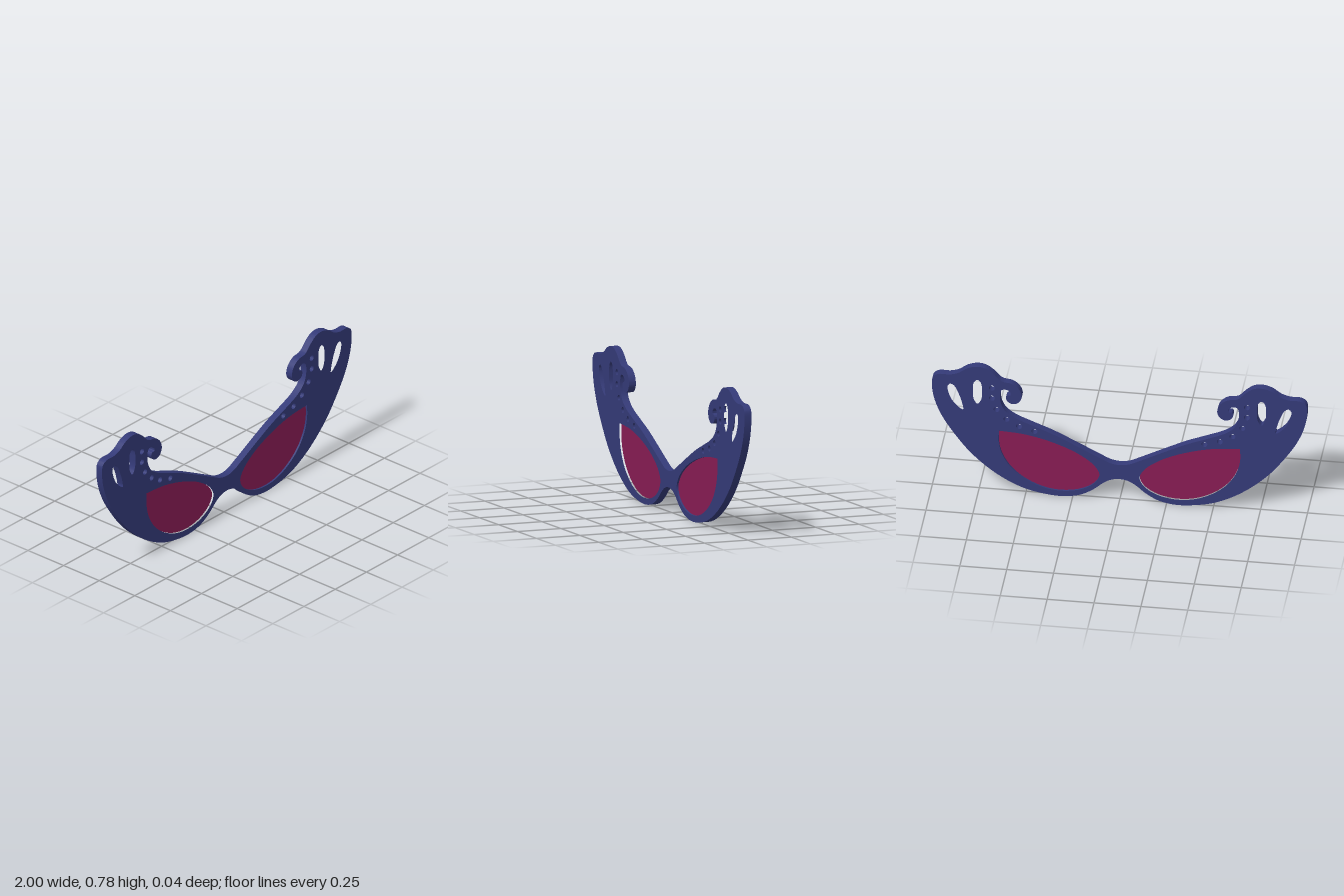
import * as THREE from 'three';
import { toCreasedNormals } from 'three/addons/utils/BufferGeometryUtils.js';

const THICK = 0.04;
const frameMat = new THREE.MeshStandardMaterial({ color: 0x343a78 });
const lensMat = new THREE.MeshStandardMaterial({ color: 0x881c54 });

// Smooth curve through [x, y] points, as Vector2s
function smooth(pts, closed, n) {
  const curve = new THREE.CatmullRomCurve3(pts.map(([x, y]) => new THREE.Vector3(x, y, 0)), closed, 'centripetal');
  return curve.getPoints(n).slice(0, -1).map(p => new THREE.Vector2(p.x, p.y));
}
const mirror = (pts, s) => pts.map(([x, y]) => [s * x, y]);

function extrude(shape, depth) {
  const g = new THREE.ExtrudeGeometry(shape, { depth, bevelEnabled: false, curveSegments: 16 });
  g.translate(0, 0, -depth / 2);
  return toCreasedNormals(g, 0.6);
}

// Half outline: from the bridge along the brow, round the curl and wing tip, back under the lens
const half = [
  [0.05, 0.233], [0.11, 0.262], [0.25, 0.335], [0.36, 0.39], [0.47, 0.435], [0.56, 0.475], [0.61, 0.515],
  [0.632, 0.56], [0.637, 0.61], [0.628, 0.643], [0.605, 0.648], [0.583, 0.634], [0.582, 0.615],
  [0.598, 0.612], [0.606, 0.595], [0.595, 0.572], [0.567, 0.56], [0.537, 0.573], [0.521, 0.61],
  [0.535, 0.655], [0.573, 0.687], [0.63, 0.7], [0.675, 0.745], [0.715, 0.773], [0.76, 0.78],
  [0.81, 0.766], [0.86, 0.732], [0.905, 0.718], [0.965, 0.716], [0.994, 0.695], [1.0, 0.64],
  [0.985, 0.55], [0.945, 0.45], [0.88, 0.345], [0.8, 0.24], [0.7, 0.145], [0.6, 0.076],
  [0.5, 0.03], [0.4, 0.007], [0.3, 0], [0.21, 0.018], [0.14, 0.058], [0.085, 0.105], [0.045, 0.128],
];

// Lens opening, starting and ending at its sharp outer corner
const lens = [
  [0.642, 0.385], [0.5, 0.373], [0.35, 0.334], [0.22, 0.276], [0.135, 0.21], [0.107, 0.155],
  [0.13, 0.102], [0.2, 0.055], [0.3, 0.034], [0.4, 0.045], [0.5, 0.09], [0.58, 0.16],
  [0.628, 0.245], [0.644, 0.32], [0.642, 0.385],
];

// Long cutouts in the wing
const slots = [
  [[0.757, 0.697], [0.776, 0.68], [0.782, 0.63], [0.777, 0.575], [0.757, 0.545], [0.737, 0.575], [0.733, 0.63], [0.739, 0.68]],
  [[0.902, 0.66], [0.916, 0.645], [0.912, 0.605], [0.884, 0.545], [0.834, 0.502], [0.842, 0.555], [0.861, 0.61], [0.882, 0.65]],
];

// Round holes following the brow
const dots = [[0.68, 0.652], [0.68, 0.588], [0.655, 0.519], [0.602, 0.461], [0.535, 0.422], [0.453, 0.398]];

export function createModel() {
  const model = new THREE.Group();

  const outline = [[0, 0.225], ...half, [0, 0.136], ...mirror(half, -1).reverse()];
  const frame = new THREE.Shape(smooth(outline, true, 540));

  for (const s of [1, -1]) {
    const lensPts = smooth(mirror(lens, s), false, 90);
    frame.holes.push(new THREE.Path(lensPts));
    for (const slot of slots) frame.holes.push(new THREE.Path(smooth(mirror(slot, s), true, 40)));
    for (const [x, y] of dots) {
      const hole = [];
      for (let i = 0; i < 20; i++) {
        const a = i / 20 * Math.PI * 2;
        hole.push(new THREE.Vector2(s * x + 0.016 * Math.cos(a), y + 0.016 * Math.sin(a)));
      }
      frame.holes.push(new THREE.Path(hole));
    }

    // Lens set midway into the frame
    const pane = new THREE.Mesh(extrude(new THREE.Shape(lensPts), THICK / 2), lensMat);
    pane.name = s > 0 ? 'leftLens' : 'rightLens';
    model.add(pane);
  }

  const body = new THREE.Mesh(extrude(frame, THICK), frameMat);
  body.name = 'frame';
  model.add(body);
  return model;
}
